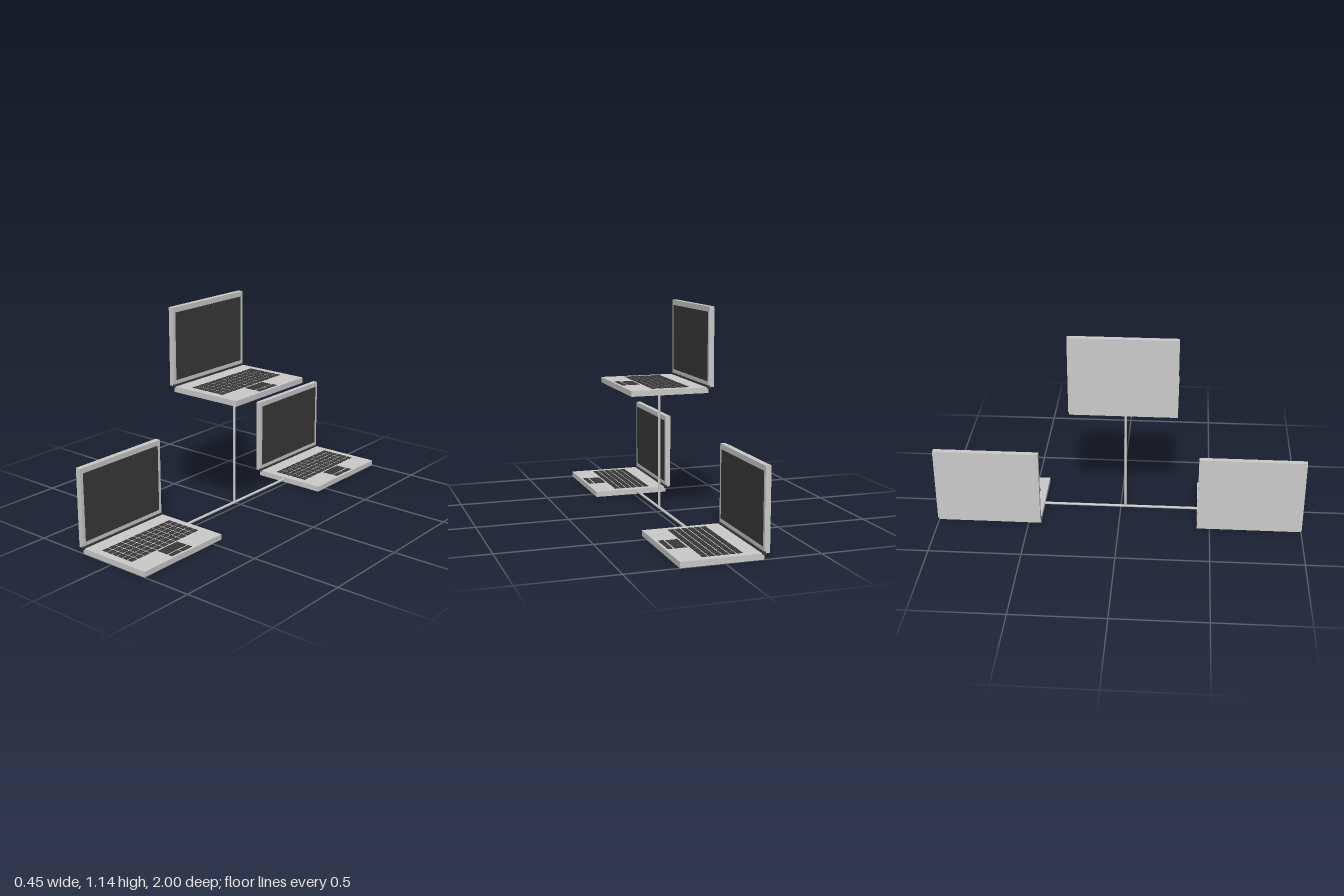
import * as THREE from 'three';

const grey = new THREE.MeshStandardMaterial({ color: 0xcccccc });
const dark = new THREE.MeshStandardMaterial({ color: 0x3a3a3a });

// Box given by its lower and upper limits on each axis
function box(parent, name, material, [x0, x1], [y0, y1], [z0, z1]) {
  const mesh = new THREE.Mesh(new THREE.BoxGeometry(x1 - x0, y1 - y0, z1 - z0), material);
  mesh.name = name;
  mesh.position.set((x0 + x1) / 2, (y0 + y1) / 2, (z0 + z1) / 2);
  parent.add(mesh);
  return mesh;
}

// Round rod between two points
function rod(parent, name, from, to) {
  const dir = to.clone().sub(from);
  const mesh = new THREE.Mesh(new THREE.CylinderGeometry(0.0075, 0.0075, dir.length(), 8), grey);
  mesh.name = name;
  mesh.position.copy(from).add(to).multiplyScalar(0.5);
  mesh.quaternion.setFromUnitVectors(new THREE.Vector3(0, 1, 0), dir.normalize());
  parent.add(mesh);
}

// Open laptop facing +x, standing on y = 0
function laptop(name, y, z) {
  const g = new THREE.Group();
  g.name = name;
  g.position.set(0, y, z);
  const half = 0.285, top = 0.03;
  box(g, 'base', grey, [-0.199, 0.225], [0, top], [-half, half]);
  box(g, 'lid', grey, [-0.228, -0.199], [top, 0.453], [-half, half]);
  box(g, 'screen', dark, [-0.203, -0.1982], [0.06, 0.425], [-0.267, 0.267]);
  box(g, 'hinge', dark, [-0.207, -0.19], [0.023, 0.039], [-half - 0.001, half + 0.001]);

  // Keyboard: six rows of eleven keys
  const keyboard = new THREE.Group();
  keyboard.name = 'keyboard';
  g.add(keyboard);
  const px = 0.0354, pz = 0.0452;
  for (let i = 0; i < 6; i++) {
    for (let j = 0; j < 11; j++) {
      const cx = (i - 2.5) * px - 0.0025, cz = (j - 5) * pz;
      box(keyboard, 'key', dark, [cx - 0.014, cx + 0.014], [top - 0.002, top + 0.0025], [cz - 0.0185, cz + 0.0185]);
    }
  }

  // Touchpad with two buttons
  box(g, 'touchpad', dark, [0.11, 0.174], [top - 0.002, top + 0.0007], [-0.073, 0.073]);
  for (const s of [-1, 1]) {
    const zs = [s * 0.004, s * 0.073].sort((a, b) => a - b);
    box(g, 'touchpadButton', dark, [0.184, 0.21], [top - 0.002, top + 0.0025], zs);
  }
  return g;
}

export function createModel() {
  const model = new THREE.Group();
  model.name = 'laptopNetwork';
  model.add(
    laptop('leftLaptop', 0, 0.715),
    laptop('rightLaptop', 0, -0.715),
    laptop('upperLaptop', 0.69, 0.025),
  );

  // Connecting rods
  const x = -0.022;
  rod(model, 'crossRod', new THREE.Vector3(x, 0.016, -0.45), new THREE.Vector3(x, 0.016, 0.45));
  rod(model, 'uprightRod', new THREE.Vector3(x, 0.016, 0.027), new THREE.Vector3(x, 0.7, 0.027));
  return model;
}
